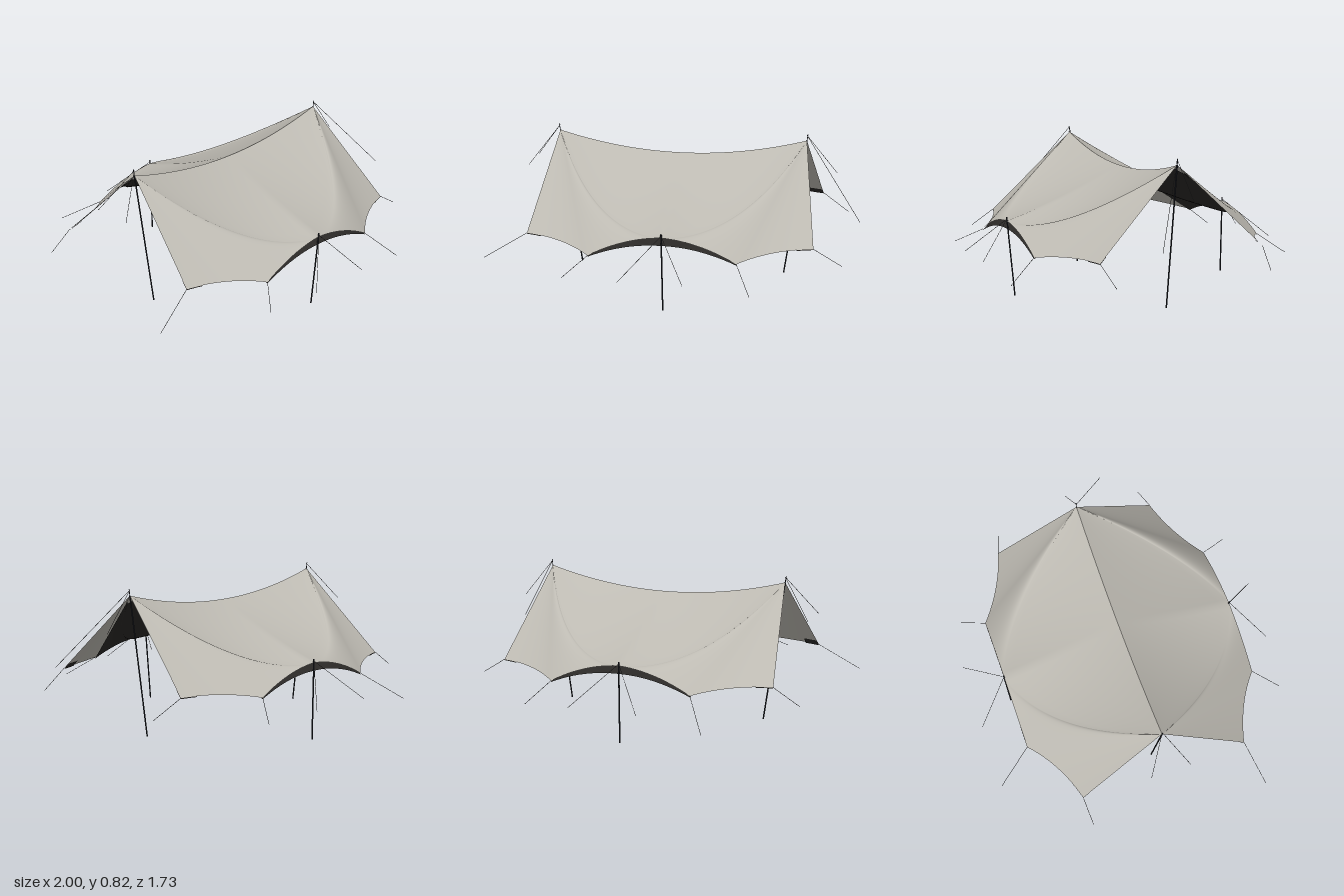
import * as THREE from 'three';
import { mergeVertices } from 'three/addons/utils/BufferGeometryUtils.js';

const V = (x, y, z) => new THREE.Vector3(x, y, z);
const mix = (a, b, t) => a.clone().lerp(b, t);

const canvasMat = new THREE.MeshStandardMaterial({ color: 0xbdbab2, side: THREE.DoubleSide });
canvasMat.name = 'canvas';
const liningMat = new THREE.MeshStandardMaterial({ color: 0x2b2927, side: THREE.DoubleSide });
liningMat.name = 'dark lining';
const poleMat = new THREE.MeshStandardMaterial({ color: 0x22252c });
poleMat.name = 'pole';
const ropeMat = new THREE.MeshStandardMaterial({ color: 0x3a3a3c });
ropeMat.name = 'rope';

// Key points of one quarter of the canopy (+x, +z)
const PEAK = V(0.69, 0.78, 0);
const EAVE = V(0, 0.42, 0.67);
const FOOT = V(0.39, 0.3, 0.67);
const WING = V(0.77, 0.33, 0.47);
const seam = new THREE.QuadraticBezierCurve3(PEAK, V(0.395, 0.38, 0.54), EAVE);

// Canopy point: f sweeps ridge(0) - seam(1) - foot(2) - wing(3), v runs out from the peak
function canopy(f, v) {
  const c = seam.getPoint(v);
  if (f <= 1) {
    const ridge = V(0.69 * (1 - v), 0.68 + 0.1 * (1 - v) ** 2, 0);
    const p = mix(ridge, c, f);
    p.y -= 0.08 * f * (1 - f) * v;
    return p;
  }
  if (f <= 2) {
    const u = f - 1;
    const edge = mix(EAVE, FOOT, u);
    edge.y += 0.1 * u * (1 - u);
    const bulge = c.sub(mix(PEAK, EAVE, v)).multiplyScalar(1 - u);
    return mix(PEAK, edge, v).add(bulge);
  }
  const u = f - 2, k = u * (1 - u);
  const edge = mix(FOOT, WING, u).add(V(-0.06 * k, 0.04 * k, -0.08 * k));
  return mix(PEAK, edge, v);
}

// Sheet over a range of f and v, mirrored in x; drop(f, v) lowers it below the canopy
function sheet(f0, f1, nf, v0, v1, nv, drop = () => 0) {
  const pos = [], idx = [];
  for (const side of [1, -1]) {
    const base = pos.length / 3;
    for (let i = 0; i <= nf; i++) {
      for (let j = 0; j <= nv; j++) {
        const f = f0 + (f1 - f0) * i / nf, v = v0 + (v1 - v0) * j / nv;
        const p = canopy(f, v);
        pos.push(side * p.x, p.y - drop(f, v), p.z);
        if (i === nf || j === nv) continue;
        const a = base + i * (nv + 1) + j, b = a + 1, c = a + nv + 1, d = c + 1;
        if (side > 0) idx.push(a, b, c, b, d, c);
        else idx.push(a, c, b, b, c, d);
      }
    }
  }
  const g = new THREE.BufferGeometry();
  g.setAttribute('position', new THREE.Float32BufferAttribute(pos, 3));
  g.setIndex(idx);
  const merged = mergeVertices(g, 1e-4);
  merged.computeVertexNormals();
  return merged;
}

// Straight round bar between two points
function bar(name, a, b, r, mat, sides) {
  const g = new THREE.CylinderGeometry(r, r, a.distanceTo(b), sides);
  const m = new THREE.Mesh(g, mat);
  m.name = name;
  m.position.copy(a).add(b).multiplyScalar(0.5);
  m.quaternion.setFromUnitVectors(V(0, 1, 0), b.clone().sub(a).normalize());
  return m;
}

export function createModel() {
  const model = new THREE.Group();
  model.name = 'canopyTent';

  // Front and back halves meet in a sharp ridge
  const roofGeo = sheet(0, 3, 36, 0, 1, 28);
  const liningGeo = sheet(0, 2, 24, 0.06, 1, 28,
    (f, v) => 0.007 + 0.048 * v * (1 - f * f / 4));
  const patchGeo = sheet(2.8, 3, 3, 0.92, 1, 3, () => 0.005);
  ['front', 'back'].forEach((name, i) => {
    const half = new THREE.Group();
    half.name = name + 'Half';
    const parts = [['roof', roofGeo, canvasMat], ['lining', liningGeo, liningMat],
      ['cornerPatches', patchGeo, liningMat]];
    for (const [part, geo, mat] of parts) {
      const m = new THREE.Mesh(geo, mat);
      m.name = part;
      half.add(m);
    }
    half.rotation.y = i * Math.PI;
    model.add(half);
  });

  // Poles: two tall ones under the peaks, two short ones under the eaves
  for (const s of [1, -1]) {
    model.add(bar('peakPole', V(s * 0.583, 0, 0), V(s * 0.69, 0.78, 0), 0.004, poleMat, 10));
    model.add(bar('peakSpike', V(s * 0.69, 0.775, 0), V(s * 0.695, 0.815, 0), 0.002, poleMat, 8));
  }
  model.add(bar('frontPole', V(0, 0, 0.63), V(0, 0.44, 0.67), 0.004, poleMat, 10));
  model.add(bar('backPole', V(0, 0, -0.665), V(0, 0.44, -0.67), 0.004, poleMat, 10));

  // Guy ropes: start point, then the far end of each rope tied there
  const ropes = [
    [[-0.69, 0.81, 0], [-0.85, 0.6, -0.11], [-0.85, 0.6, 0.11]],
    [[0.69, 0.81, 0], [1, 0.41, 0.24], [0.86, 0.6, -0.015]],
    [[0, 0.43, 0.67], [-0.2, 0.23, 0.84], [0.14, 0.24, 0.86]],
    [[0, 0.43, -0.67], [-0.175, 0.23, -0.87], [0.2, 0.23, -0.87]],
    [[-0.77, 0.33, 0.47], [-1, 0.195, 0.525]],
    [[0.77, 0.33, 0.47], [0.92, 0.235, 0.45]],
    [[-0.77, 0.33, -0.47], [-0.91, 0.24, -0.46]],
    [[0.77, 0.33, -0.47], [0.92, 0.235, -0.43]],
    [[-0.39, 0.3, 0.67], [-0.5, 0.22, 0.8]],
    [[0.39, 0.3, 0.67], [0.475, 0.19, 0.83]],
    [[-0.39, 0.3, -0.67], [-0.52, 0.17, -0.87]],
    [[0.39, 0.3, -0.67], [0.48, 0.2, -0.8]],
  ];
  for (const [start, ...ends] of ropes) {
    for (const end of ends) {
      model.add(bar('guyRope', V(...start), V(...end), 0.0012, ropeMat, 6));
    }
  }
  return model;
}
